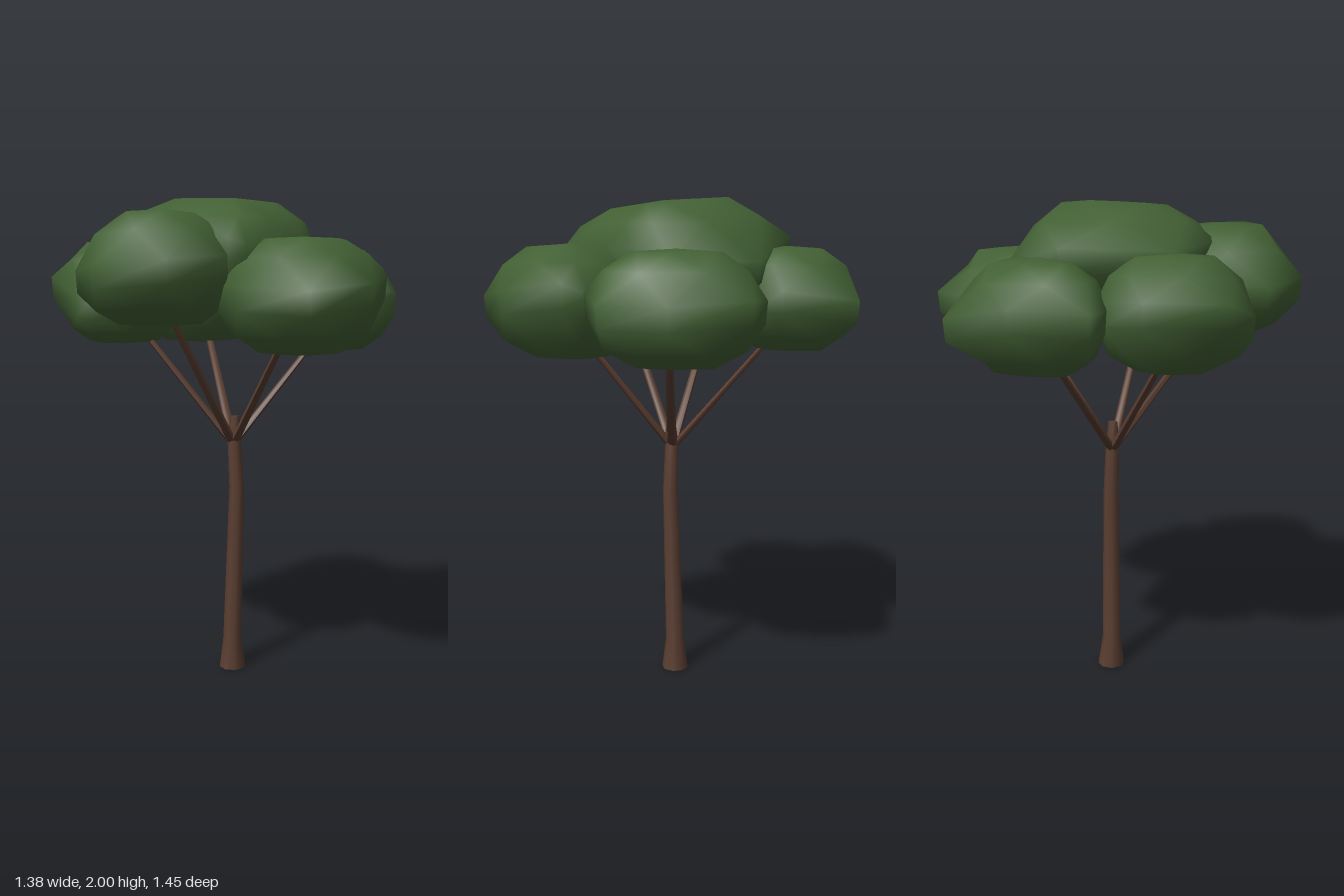
import * as THREE from 'three';
import { mergeVertices, toCreasedNormals } from 'three/addons/utils/BufferGeometryUtils.js';

const leafMaterial = new THREE.MeshStandardMaterial({ color: 0x426034 });
const barkMaterial = new THREE.MeshStandardMaterial({ color: 0x593d30 });

// Clump rings from bottom to top:
// [outline scale, rise from the rim (-1 = underside, 1 = crown), turn in outline steps]
const RINGS = [
  [0, -1, -1], [0.5, -0.94, -1], [0.85, -0.66, -0.5], [0.98, -0.2, 0],
  [1, 0.2, 0], [0.85, 0.66, 0.5], [0.5, 0.95, 1], [0, 1, 1],
];

// Closed, smooth-shaded loft over a rim of [x, y, z] corners, running clockwise from above.
// tilt slopes the crown and underside along [x, z]
function foliageClump(name, rim, bottom, top, tilt = [0, 0]) {
  const n = rim.length;
  const [cx, , cz] = [0, 1, 2].map((k) => rim.reduce((sum, p) => sum + p[k], 0) / n);
  const corner = (t) => {
    const f = Math.floor(t);
    const a = rim[(f + n) % n], b = rim[(f + 1 + n) % n];
    return a.map((v, k) => v + (b[k] - v) * (t - f));
  };
  const positions = [], indices = [];
  RINGS.forEach(([scale, rise, turn], row) => {
    for (let i = 0; i < n; i++) {
      const [px, py, pz] = corner(i + turn);
      const x = (px - cx) * scale, z = (pz - cz) * scale;
      const slope = (tilt[0] * x + tilt[1] * z) * Math.abs(rise);
      const y = THREE.MathUtils.lerp(py, rise < 0 ? bottom : top, Math.abs(rise)) + slope;
      positions.push(cx + x, y, cz + z);
    }
    if (row === 0) return;
    for (let i = 0; i < n; i++) {
      const j = (i + 1) % n, low = (row - 1) * n, high = row * n;
      if (row > 1) indices.push(low + i, high + i, low + j);
      if (row < RINGS.length - 1) indices.push(low + j, high + i, high + j);
    }
    // Close the poles, where one triangle of each pair has no area
    if (row === 1) for (let i = 0; i < n; i++) indices.push(i, n + i, n + (i + 1) % n);
  });
  const geometry = new THREE.BufferGeometry();
  geometry.setAttribute('position', new THREE.Float32BufferAttribute(positions, 3));
  geometry.setIndex(indices.slice(3 * n));
  const merged = mergeVertices(geometry);
  merged.computeVertexNormals();
  const mesh = new THREE.Mesh(merged, leafMaterial);
  mesh.name = name;
  return mesh;
}

// Tapered limb through rings of [x, y, z, radius]
function limb(name, rings, sides) {
  const geometry = new THREE.CylinderGeometry(1, 1, 1, sides, rings.length - 1);
  const pos = geometry.attributes.position;
  for (let i = 0; i < pos.count; i++) {
    const step = Math.round((pos.getY(i) + 0.5) * (rings.length - 1));
    const [x, y, z, r] = rings[step];
    pos.setXYZ(i, x + pos.getX(i) * r, y, z + pos.getZ(i) * r);
  }
  const mesh = new THREE.Mesh(toCreasedNormals(geometry, 1.1), barkMaterial);
  mesh.name = name;
  return mesh;
}

export function createModel() {
  const tree = new THREE.Group();
  tree.name = 'tree';

  // Trunk with a flared foot and a slight bend near the top
  tree.add(limb('trunk', [
    [-0.03, 0, -0.025, 0.056], [-0.03, 0.13, -0.023, 0.039],
    [-0.006, 0.8, -0.023, 0.032], [-0.016, 1, -0.018, 0.028], [-0.012, 1.1, -0.016, 0.019],
  ], 8));

  // Branches fanning out from the fork into the ring of clumps
  const tips = {
    frontBranch: [-0.06, 1.6, 0.42], leftBranch: [0.38, 1.53, 0.15],
    backLeftBranch: [0.27, 1.53, -0.38], backRightBranch: [-0.39, 1.53, -0.32],
    rightBranch: [-0.4, 1.53, 0.2],
  };
  for (const [name, tip] of Object.entries(tips)) {
    tree.add(limb(name, [[-0.02, 0.98, -0.018, 0.02], [...tip, 0.013]], 6));
  }

  // Raised middle clump
  tree.add(foliageClump('topClump', [
    [-0.46, 1.8, -0.24], [-0.12, 1.68, -0.44], [0.215, 1.7, -0.33],
    [0.28, 1.76, -0.15], [0.31, 1.75, -0.03], [0.29, 1.74, 0.35],
    [0.215, 1.77, 0.37], [-0.21, 1.82, 0.37], [-0.47, 1.79, 0.18],
  ], 1.55, 1.99, [-0.08, -0.05]));

  // Ring of five lower clumps
  tree.add(foliageClump('frontClump', [
    [-0.34, 1.68, 0.26], [-0.1, 1.7, 0.12], [0.14, 1.7, 0.17], [0.215, 1.7, 0.37],
    [0.14, 1.67, 0.63], [-0.135, 1.65, 0.72], [-0.38, 1.64, 0.54],
  ], 1.48, 1.91, [0.04, 0.06]));
  tree.add(foliageClump('leftClump', [
    [0.22, 1.6, -0.15], [0.475, 1.58, -0.19], [0.6, 1.64, -0.175], [0.69, 1.6, 0.12],
    [0.605, 1.56, 0.43], [0.29, 1.58, 0.425], [0.1, 1.6, 0.3], [0.06, 1.6, 0.05],
  ], 1.37, 1.82));
  tree.add(foliageClump('backLeftClump', [
    [-0.1, 1.56, -0.51], [0.155, 1.58, -0.73], [0.41, 1.55, -0.57], [0.56, 1.56, -0.35],
    [0.51, 1.6, -0.19], [0.2, 1.6, -0.12], [-0.06, 1.58, -0.25],
  ], 1.365, 1.8));
  tree.add(foliageClump('backRightClump', [
    [-0.445, 1.55, -0.65], [-0.17, 1.6, -0.52], [-0.14, 1.6, -0.385], [-0.15, 1.6, -0.2],
    [-0.3, 1.6, -0.05], [-0.55, 1.6, -0.07], [-0.67, 1.6, -0.13], [-0.64, 1.62, -0.42],
  ], 1.39, 1.81));
  tree.add(foliageClump('rightClump', [
    [-0.69, 1.65, 0.04], [-0.515, 1.62, -0.09], [-0.46, 1.6, -0.11], [-0.22, 1.6, 0],
    [-0.17, 1.58, 0.25], [-0.35, 1.53, 0.48], [-0.44, 1.54, 0.48], [-0.69, 1.64, 0.35],
  ], 1.4, 1.83));

  return tree;
}
